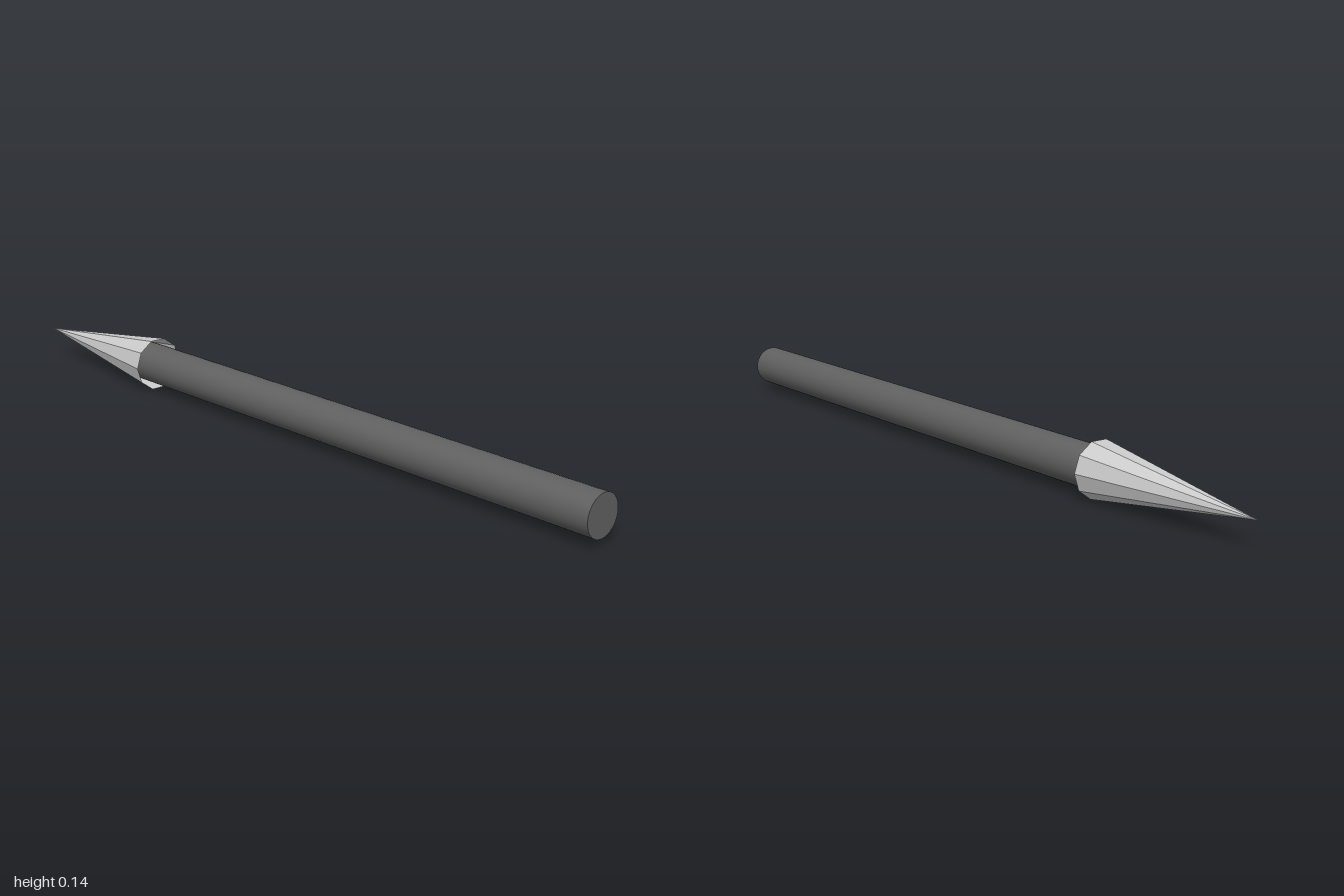
import * as THREE from 'three';

const AXIS_Y = 0.0685; // height of the long axis

// Lay an upright geometry along x (its top points to -x), spanning x0..x1
function alongX(geometry, x0, x1) {
  return geometry.rotateZ(Math.PI / 2).translate((x0 + x1) / 2, AXIS_Y, 0);
}

export function createModel() {
  const model = new THREE.Group();
  model.name = 'spike';

  // Round dark shaft, its end hidden inside the head
  const shaft = new THREE.Mesh(
    alongX(new THREE.CylinderGeometry(0.053, 0.053, 1.59, 32), -0.59, 1),
    new THREE.MeshStandardMaterial({ color: 0x606060 })
  );
  shaft.name = 'shaft';

  // Faceted ten-sided head, hollow and open at the back
  const head = new THREE.Mesh(
    alongX(new THREE.ConeGeometry(0.072, 0.5, 10, 1, true), -1, -0.5),
    new THREE.MeshStandardMaterial({ color: 0xcccccc, flatShading: true, side: THREE.DoubleSide })
  );
  head.name = 'pointedHead';

  model.add(shaft, head);
  return model;
}
